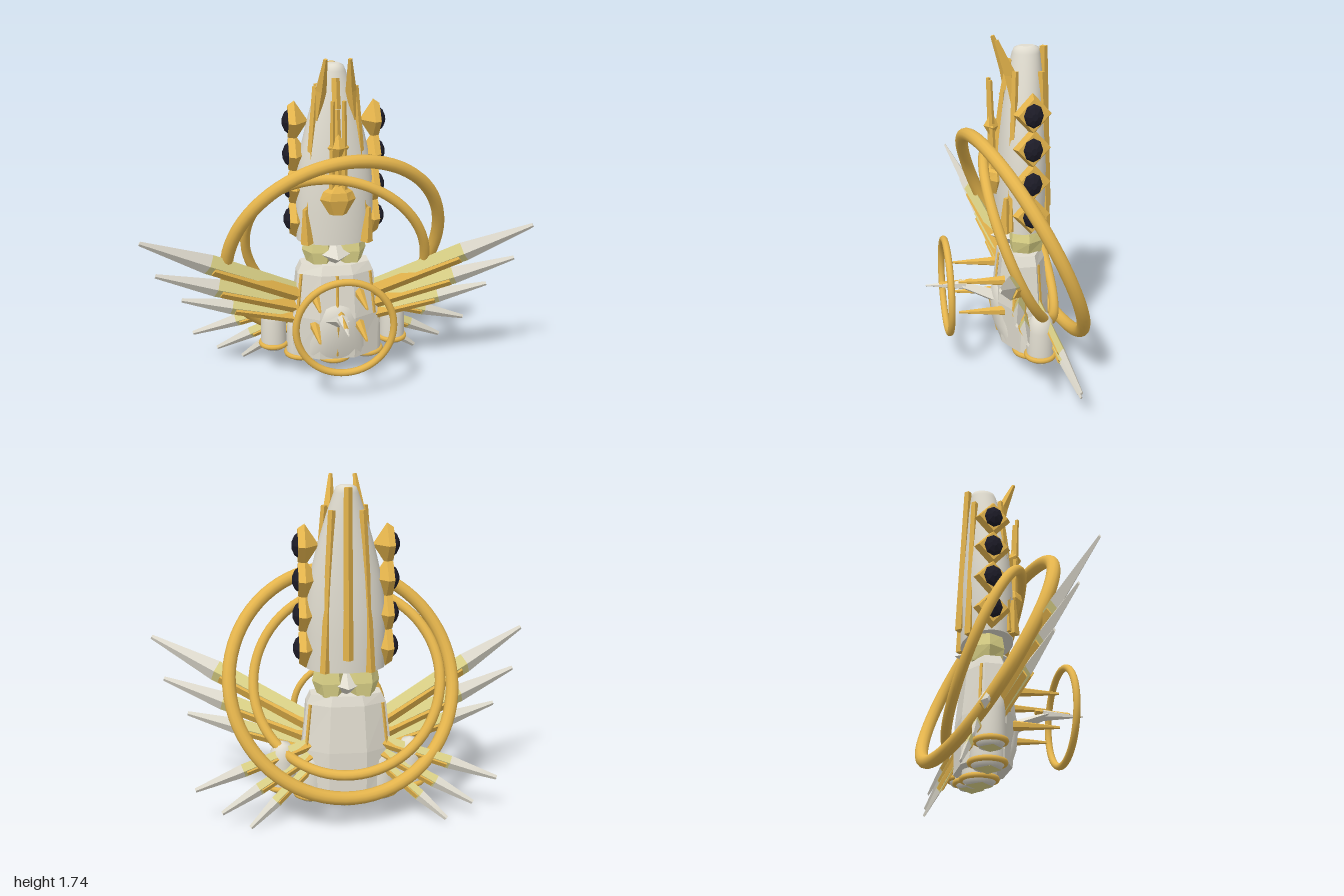
import * as THREE from 'three';

const V = (x, y, z) => new THREE.Vector3(x, y, z);
const mat = (name, color) => {
  const m = new THREE.MeshStandardMaterial({ color });
  m.name = name;
  return m;
};

// Closed solid through elliptical rings [y, rx, rz, centre z]
function loft(rings, seg, flat) {
  const pos = [], idx = [];
  const ring = ([y, rx, rz, cz]) => {
    for (let i = 0; i < seg; i++) {
      const a = (i + 0.5) / seg * Math.PI * 2;
      pos.push(Math.sin(a) * rx, y, cz + Math.cos(a) * rz);
    }
  };
  rings.forEach(ring);
  for (let r = 0; r < rings.length - 1; r++)
    for (let i = 0; i < seg; i++) {
      const a = r * seg + i, b = r * seg + (i + 1) % seg;
      idx.push(a, b, b + seg, a, b + seg, a + seg);
    }
  [rings[0], rings[rings.length - 1]].forEach((e, k) => {
    const s = pos.length / 3;
    ring(e);
    for (let i = 1; i < seg - 1; i++) k ? idx.push(s, s + i, s + i + 1) : idx.push(s, s + i + 1, s + i);
  });
  let g = new THREE.BufferGeometry();
  g.setAttribute('position', new THREE.Float32BufferAttribute(pos, 3));
  g.setIndex(idx);
  if (flat) g = g.toNonIndexed();
  g.computeVertexNormals();
  return g;
}

export function createModel() {
  const root = new THREE.Group();
  const white = mat('ivory', 0xe0dccf), gold = mat('gold', 0xe4b44c);
  const khaki = mat('paleYellow', 0xdcd388), black = mat('nearBlack', 0x1d1c28);

  const add = (name, geo, m, p = V(0, 0, 0), parent = root) => {
    const mesh = new THREE.Mesh(geo, m);
    mesh.name = name;
    mesh.position.copy(p);
    parent.add(mesh);
    return mesh;
  };
  const facet = (g) => { const n = g.index ? g.toNonIndexed() : g; n.computeVertexNormals(); return n; };

  // Tapered bar between two points; local z is kept close to world z
  const bar = (name, a, b, ra, rb, m, seg = 4, flatten = 1, parent = root) => {
    const d = b.clone().sub(a), len = d.length();
    d.normalize();
    const ref = Math.abs(d.z) > 0.9 ? V(0, 1, 0) : V(0, 0, 1);
    const z = ref.addScaledVector(d, -ref.dot(d)).normalize();
    const x = d.clone().cross(z);
    const g = facet(new THREE.CylinderGeometry(rb, ra, len, seg).scale(1, 1, flatten));
    const mesh = add(name, g, m, a.clone().lerp(b, 0.5), parent);
    mesh.quaternion.setFromRotationMatrix(new THREE.Matrix4().makeBasis(x, d, z));
    return mesh;
  };

  // Upper and lower hull
  add('upperHull', loft([[0.78, 0.2, 0.13, -0.1], [0.95, 0.203, 0.134, -0.102], [1.1, 0.2, 0.13, -0.105],
    [1.25, 0.178, 0.12, -0.108], [1.4, 0.142, 0.106, -0.112], [1.55, 0.098, 0.088, -0.12],
    [1.66, 0.06, 0.07, -0.126], [1.685, 0.05, 0.062, -0.128], [1.695, 0.03, 0.04, -0.128]], 40), white);
  add('lowerHull', loft([[0.12, 0.25, 0.135, -0.115], [0.36, 0.25, 0.145, -0.105], [0.6, 0.22, 0.12, -0.105],
    [0.65, 0.195, 0.1, -0.108]], 8, true), white);
  add('frontBulge', loft([[0.12, 0.17, 0.06, -0.05], [0.22, 0.155, 0.085, -0.04], [0.35, 0.13, 0.1, -0.04],
    [0.42, 0.1, 0.08, -0.04], [0.46, 0.04, 0.04, -0.04]], 24), white);

  // Faceted neck: white double point between pale yellow blocks
  add('neckPoint', facet(new THREE.OctahedronGeometry(1).scale(0.13, 0.085, 0.16)), white, V(0, 0.705, -0.105));
  for (const s of [1, -1])
    add('neckGem', loft([[0.645, 0.065, 0.085, -0.12], [0.715, 0.09, 0.095, -0.12], [0.785, 0.075, 0.085, -0.12]], 6, true),
      khaki, V(s * 0.082, 0, 0));

  // Thin gold seams on the lower hull
  for (const deg of [60, 120, 240, 300]) {
    const a = deg * Math.PI / 180, c = Math.cos(a) * 0.96, n = Math.sin(a) * 0.96;
    bar('hullSeam', V(n * 0.25, 0.36, -0.105 + c * 0.145), V(n * 0.22, 0.6, -0.105 + c * 0.12), 0.01, 0.01, gold);
  }
  bar('hullSeam', V(0, 0.42, 0.025), V(0, 0.6, 0.008), 0.008, 0.008, gold);
  bar('bulgeSeam', V(0, 0.14, 0.017), V(0, 0.34, 0.06), 0.006, 0.006, gold);

  // Engines: domed pod, gold collar and faceted nozzle gem
  for (const [x, y, z, r, h] of [[0, 0.08, -0.13, 0.085, 0.2], [0.18, 0.11, -0.13, 0.083, 0.24], [-0.18, 0.11, -0.13, 0.083, 0.24],
    [0.33, 0.165, -0.15, 0.07, 0.24], [-0.33, 0.165, -0.15, 0.07, 0.24]]) {
    const engine = new THREE.Group();
    engine.name = 'engine';
    engine.position.set(x, y, z);
    root.add(engine);
    const prof = [[0, -0.03], [r * 0.75, -0.03], [r * 0.95, -0.01], [r, 0.02], [r * 0.95, h * 0.6], [r * 0.85, h * 0.8], [r * 0.55, h * 0.95], [0, h]];
    add('pod', new THREE.LatheGeometry(prof.map(p => new THREE.Vector2(...p)), 24), white, V(0, 0, 0), engine);
    add('collar', new THREE.TorusGeometry(r, 0.014, 8, 28).rotateX(Math.PI / 2), gold, V(0, 0, 0), engine);
    add('nozzleGem', new THREE.OctahedronGeometry(r * 0.8).scale(1, 0.36, 1), khaki, V(0, -0.03, 0), engine);
  }

  // Feather-like blades: pale root, broad gold spine, ivory tip
  const blade = (name, a, b, w) => {
    const g = new THREE.Group(), mid = a.clone().lerp(b, 0.6);
    g.name = name;
    root.add(g);
    bar('bladeRoot', a, mid, w * 0.8, w, khaki, 4, 0.55, g);
    bar('bladeTip', mid, b, w, 0.012, white, 4, 0.55, g);
    for (const s of [1, -1]) {
      const off = V(0, -w * 0.32, s * w * 0.24);
      bar('bladeSpine', a.clone().add(off), a.clone().lerp(b, 0.57).add(off), w * 0.72, w * 0.6, gold, 4, 0.62, g);
    }
  };
  for (const s of [1, -1]) {
    blade('upperBlade', V(s * 0.17, 0.48, -0.08), V(s * 0.99, 0.89, 0.172), 0.055);
    blade('upperBlade', V(s * 0.17, 0.41, -0.08), V(s * 0.93, 0.685, 0.09), 0.05);
    blade('upperBlade', V(s * 0.17, 0.345, -0.08), V(s * 0.81, 0.515, 0.015), 0.044);
    blade('lowerBlade', V(s * 0.17, 0.4, -0.16), V(s * 0.77, 0.2, -0.255), 0.036);
    blade('lowerBlade', V(s * 0.17, 0.34, -0.17), V(s * 0.64, 0.085, -0.29), 0.034);
    blade('lowerBlade', V(s * 0.17, 0.29, -0.18), V(s * 0.5, 0.012, -0.315), 0.031);
  }

  // Halo rings: centre, normal, radius, tube
  for (const [name, c, n, r, t] of [
    ['outerHalo', V(0.005, 0.705, -0.105), V(0.19, -0.405, 0.894), 0.593, 0.034],
    ['innerHalo', V(0, 0.705, -0.105), V(-0.22, -0.387, 0.89), 0.48, 0.026],
    ['frontRing', V(0, 0.43, 0.29), V(0, 0, 1), 0.248, 0.018]])
    add(name, new THREE.TorusGeometry(r, t, 12, 72), gold, c)
      .quaternion.setFromUnitVectors(V(0, 0, 1), n.normalize());

  // Prow and the four front spikes
  bar('prow', V(0, 0.345, 0.02), V(0, 0.43, 0.21), 0.07, 0.035, white, 4, 0.5);
  bar('prowTip', V(0, 0.43, 0.19), V(0, 0.44, 0.4), 0.03, 0.004, white, 6);
  bar('prowSpine', V(0, 0.445, 0.15), V(0, 0.445, 0.33), 0.016, 0.01, gold);
  for (const x of [0.12, -0.12])
    for (const y of [0.5, 0.325])
      bar('frontSpike', V(x, y - 0.005, 0), V(x, y + 0.005, 0.24), 0.028, 0.007, gold, 6);

  // Side gems: gold diamond settings holding dark stones
  const lathe = (pts, seg) => facet(new THREE.LatheGeometry(pts.map(p => new THREE.Vector2(...p)), seg));
  const setting = lathe([[0, -0.07], [0.105, 0], [0.082, 0.034], [0, 0.034]], 4);
  const stone = lathe([[0.064, 0.03], [0.048, 0.05], [0.018, 0.063], [0, 0.063]], 8);
  stone.scale(1, 1, 0.88);
  for (const s of [1, -1])
    for (const y of [1.405, 1.235, 1.06, 0.888]) {
      const gem = new THREE.Group();
      gem.name = 'sideGem';
      gem.position.set(s * 0.202, y, -0.12);
      gem.rotation.z = -s * Math.PI / 2;
      gem.scale.z = 0.9;
      root.add(gem);
      add('setting', setting, gold, V(0, 0, 0), gem);
      add('stone', stone, black, V(0, 0, 0), gem);
    }

  // Gold ribs and fins on the upper hull
  bar('backRib', V(0, 0.85, -0.24), V(0, 1.69, -0.213), 0.026, 0.02, gold);
  for (const s of [1, -1]) {
    bar('backSideRib', V(s * 0.115, 0.78, -0.215), V(s * 0.075, 1.58, -0.19), 0.024, 0.018, gold);
    bar('frontSideRib', V(s * 0.165, 0.79, -0.025), V(s * 0.1, 1.59, -0.055), 0.022, 0.016, gold);
    bar('footFin', V(s * 0.155, 0.785, 0.0), V(s * 0.165, 0.97, 0.0), 0.034, 0.012, gold);
    bar('crownFinBase', V(s * 0.095, 1.42, -0.05), V(s * 0.075, 1.57, -0.035), 0.012, 0.028, gold);
    bar('crownFin', V(s * 0.075, 1.57, -0.035), V(s * 0.06, 1.735, 0.03), 0.028, 0.01, gold);
    bar('chestRib', V(s * 0.032, 1.08, 0.04), V(s * 0.028, 1.535, 0.056), 0.016, 0.011, gold);
  }
  bar('browRib', V(0, 1.48, -0.025), V(0, 1.63, -0.05), 0.026, 0.02, gold);
  bar('chestSpine', V(0, 1.08, 0.025), V(0, 1.48, -0.015), 0.03, 0.016, gold);
  add('chestStud', facet(new THREE.OctahedronGeometry(0.058).scale(0.95, 1.15, 0.7)), gold, V(0, 1.3, 0.045));
  add('chestJewel', loft([[0.95, 0.045, 0.03, 0.03], [1.03, 0.092, 0.055, 0.03], [1.07, 0.075, 0.05, 0.03], [1.1, 0.03, 0.03, 0.03]], 6, true), gold);
  return root;
}
